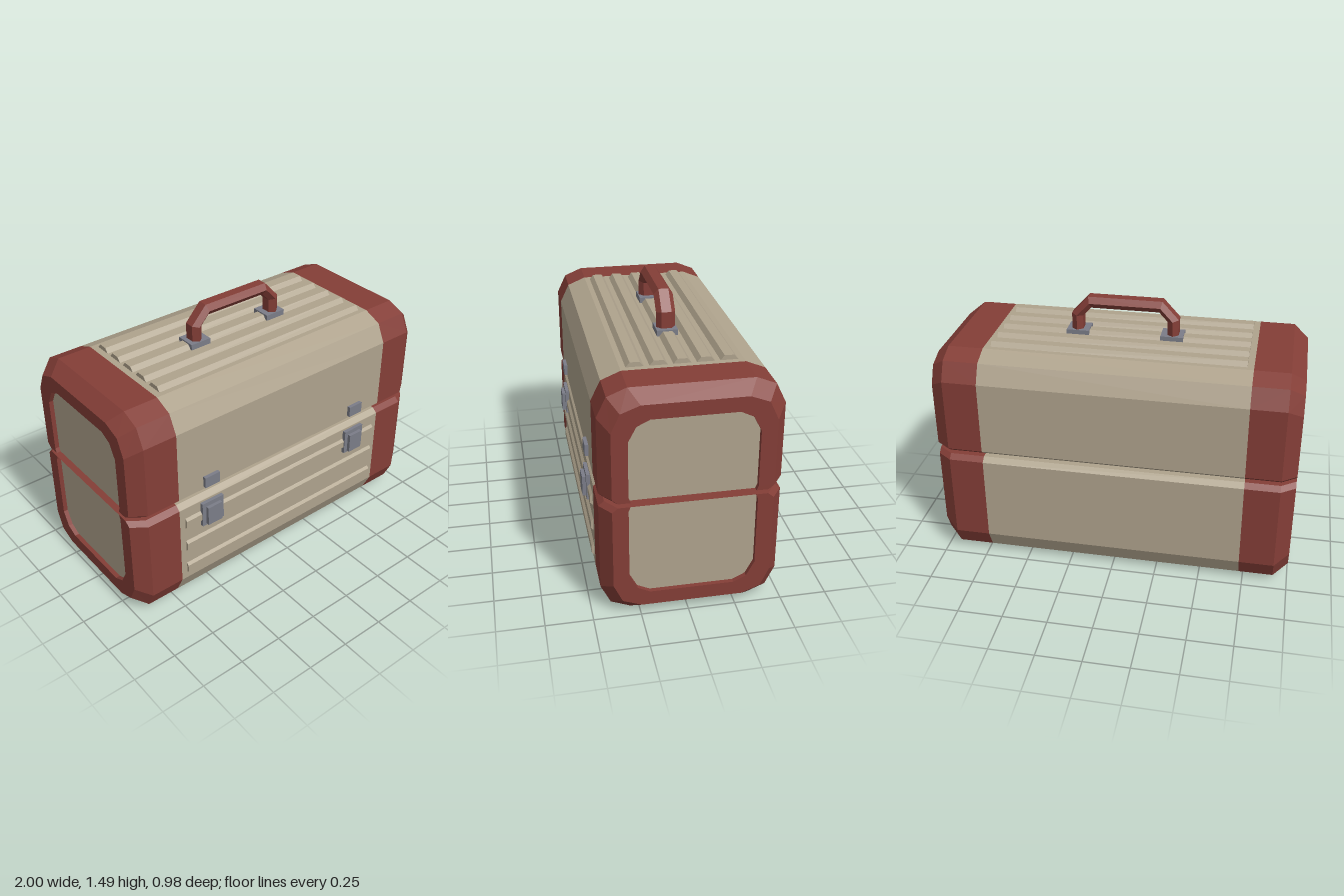
import * as THREE from 'three';

const red = new THREE.MeshStandardMaterial({ color: 0x843e37 });
red.name = 'oxbloodTrim';
const beige = new THREE.MeshStandardMaterial({ color: 0xafa38d });
beige.name = 'beigeShell';
const steel = new THREE.MeshStandardMaterial({ color: 0x7b7d88 });
steel.name = 'greySteel';

const CZ = -0.018; // centre line of the case in z
const CAP_X = 0.727; // where the end caps meet the shell

// Half outlines: [half depth, drop from the far edge], seam corner half depth
const OUTER = { pts: [[0.468, 0.147], [0.417, 0.042], [0.315, 0]], seam: 0.438 };
const INSET = { pts: [[0.41, 0.197], [0.364, 0.098], [0.265, 0.06]], seam: 0.38 };
const OPENING = { pts: [[0.328, 0.25], [0.286, 0.17], [0.22, 0.138]], seam: 0.318 };

// Open cross-section running from the front seam over the far edge to the back seam
function section(x, outline, half) {
  const { far, seam, dir } = half;
  const side = [
    [outline.seam, seam],
    [outline.pts[0][0], seam + dir * 0.025],
    ...outline.pts.map(([d, drop]) => [d, far - dir * drop]),
  ];
  const front = side.map(([d, y]) => new THREE.Vector3(x, y, CZ + d));
  const back = side.map(([d, y]) => new THREE.Vector3(x, y, CZ - d)).reverse();
  return [...front, ...back];
}

// Faceted geometry from triangles; flip reverses the corner order
function facets(tris, flip) {
  const pts = tris.flatMap(([a, b, c]) => (flip ? [a, c, b] : [a, b, c]));
  const geo = new THREE.BufferGeometry().setFromPoints(pts);
  geo.computeVertexNormals();
  return geo;
}

// Skin joining neighbouring sections
function skin(sections) {
  const tris = [];
  for (let i = 0; i < sections.length - 1; i++) {
    const a = sections[i], b = sections[i + 1];
    for (let j = 0; j < a.length - 1; j++) {
      tris.push([a[j], b[j], a[j + 1]], [a[j + 1], b[j], b[j + 1]]);
    }
  }
  return tris;
}

// Flat faces closing a half at the seam
function seamFaces(sections) {
  const tris = [];
  for (let i = 0; i < sections.length - 1; i++) {
    const a = sections[i], b = sections[i + 1], n = a.length - 1;
    tris.push([a[0], a[n], b[n]], [a[0], b[n], b[0]]);
  }
  return tris;
}

function add(parent, name, geometry, material, x = 0, y = 0, z = 0) {
  const mesh = new THREE.Mesh(geometry, material);
  mesh.name = name;
  mesh.position.set(x, y, z);
  parent.add(mesh);
  return mesh;
}

function buildHalf(name, half) {
  const group = new THREE.Group();
  group.name = name;

  // Shell between the caps
  const shell = [section(-CAP_X, OUTER, half), section(CAP_X, OUTER, half)];
  add(group, 'shell', facets([...skin(shell), ...seamFaces(shell)], half.dir < 0), beige);

  for (const s of [1, -1]) {
    const flip = s * half.dir < 0;
    const side = s > 0 ? 'left' : 'right';
    // Bevelled cap with a recessed opening
    const cap = [
      section(s * CAP_X, OUTER, half),
      section(s * 0.92, OUTER, half),
      section(s, INSET, half),
      section(s, OPENING, half),
      section(s * 0.975, OPENING, half),
    ];
    add(group, side + 'EndCap', facets([...skin(cap), ...seamFaces(cap.slice(0, 3))], flip), red);
    // Panel at the bottom of the recess
    const p = cap[4], fan = [];
    for (let j = 1; j < p.length - 1; j++) fan.push([p[0], p[j + 1], p[j]]);
    add(group, side + 'EndPanel', facets(fan, flip), beige);
  }
  return group;
}

// Long raised rib with a trapezoid section, lying along x and rising in y
function ribGeometry(base, top, height) {
  const shape = new THREE.Shape([
    new THREE.Vector2(-base, -0.005), new THREE.Vector2(base, -0.005),
    new THREE.Vector2(top, height), new THREE.Vector2(-top, height),
  ]);
  const geo = new THREE.ExtrudeGeometry(shape, { depth: 1.384, bevelEnabled: false });
  return geo.translate(0, 0, -0.692).rotateY(Math.PI / 2);
}

// Six-sided grip, given as outer and inner points of the right half of its arch
function handleGeometry() {
  const arch = [
    [[0.297, 1.28], [0.235, 1.28]],
    [[0.297, 1.39], [0.235, 1.376]],
    [[0.205, 1.49], [0.188, 1.427]],
  ];
  const hex = [[1, 0.027], [1, -0.027], [0.5, -0.052], [0, -0.027], [0, 0.027], [0.5, 0.052], [1, 0.027]];
  const ring = ([o, i], s) => hex.map(([t, z]) => new THREE.Vector3(
    s * (i[0] + (o[0] - i[0]) * t), i[1] + (o[1] - i[1]) * t, CZ + z));
  const rings = [...arch.map((a) => ring(a, -1)), ...arch.map((a) => ring(a, 1)).reverse()];
  return facets(skin(rings), false);
}

export function createModel() {
  const model = new THREE.Group();
  model.name = 'toolCase';

  const lid = buildHalf('lid', { far: 1.268, seam: 0.683, dir: 1 });
  const base = buildHalf('base', { far: 0, seam: 0.66, dir: -1 });
  model.add(lid, base);

  // Ribs on the lid and the front
  const lidRib = ribGeometry(0.05, 0.025, 0.025);
  for (let i = -2; i <= 2; i++) add(lid, 'lidRib', lidRib, beige, 0, 1.268, CZ + i * 0.12);
  const frontRib = ribGeometry(0.04, 0.02, 0.014).rotateX(Math.PI / 2);
  for (let i = 0; i < 3; i++) add(base, 'frontRib', frontRib, beige, 0, 0.22 + i * 0.157, 0.45);

  // Handle on two mounting plates
  add(lid, 'handle', handleGeometry(), red);

  for (const s of [1, -1]) {
    add(lid, 'handlePlate', new THREE.BoxGeometry(0.124, 0.036, 0.114), steel, s * 0.262, 1.282, CZ);
    // Latch: catch on the lid, plate and lever on the base
    add(lid, 'latchCatch', new THREE.BoxGeometry(0.095, 0.064, 0.03), steel, s * 0.522, 0.757, 0.455);
    add(base, 'latchPlate', new THREE.BoxGeometry(0.14, 0.15, 0.03), steel, s * 0.522, 0.548, 0.455);
    add(base, 'latchLever', new THREE.BoxGeometry(0.092, 0.114, 0.03), steel, s * 0.522, 0.541, 0.474);
  }
  return model;
}
